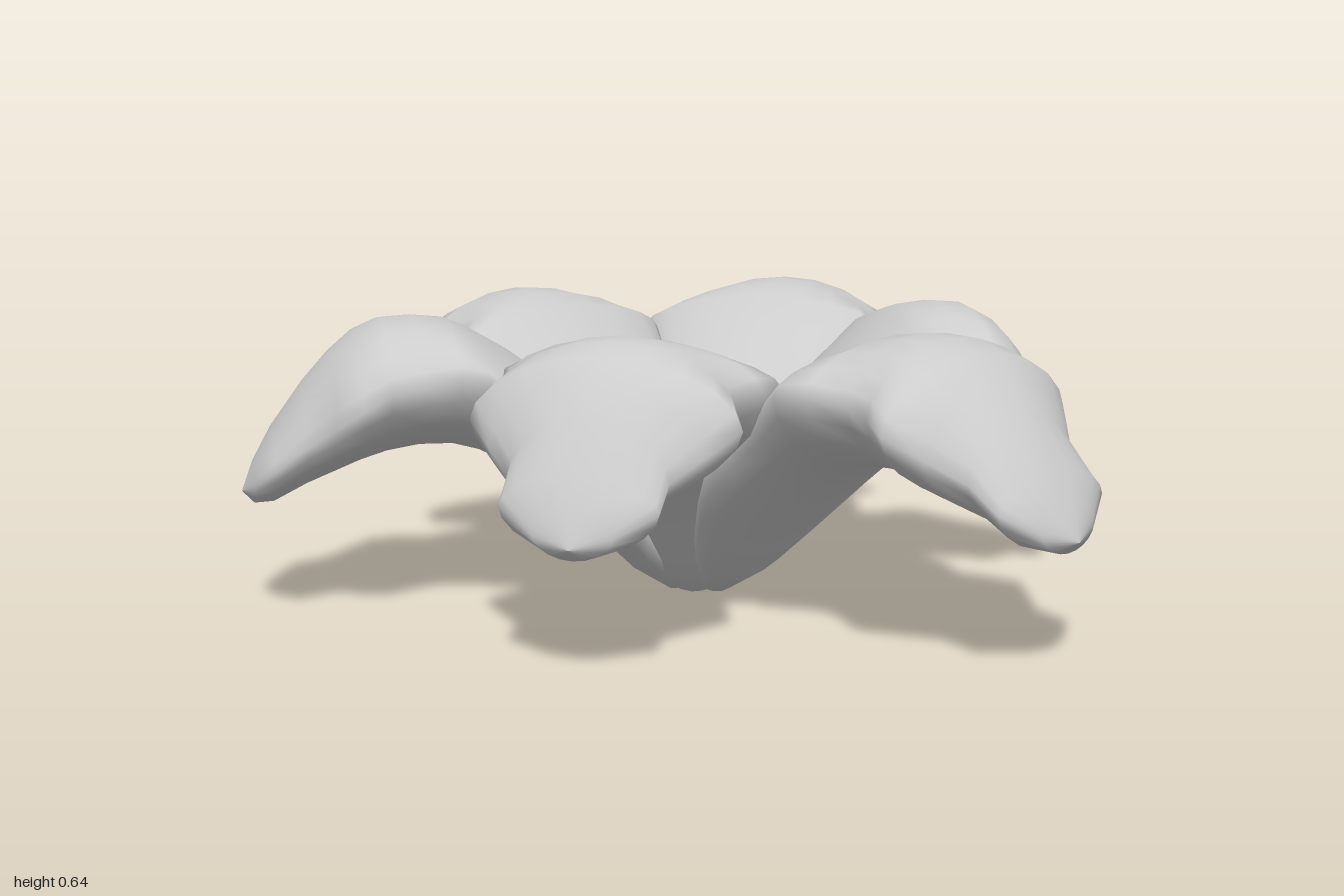
import * as THREE from 'three';

// Petal cross-sections: [fraction of length, half width, top y, rim y, belly y]
const SECTIONS = [
  [0, 0, 0.1, 0.08, 0.06],
  [0.01, 0.05, 0.14, 0.03, 0],
  [0.07, 0.085, 0.22, 0.07, 0],
  [0.15, 0.165, 0.31, 0.16, 0.05],
  [0.22, 0.225, 0.385, 0.255, 0.12],
  [0.28, 0.265, 0.44, 0.33, 0.18],
  [0.35, 0.27, 0.5, 0.4, 0.24],
  [0.43, 0.27, 0.56, 0.47, 0.305],
  [0.505, 0.305, 0.605, 0.53, 0.345],
  [0.56, 0.275, 0.63, 0.53, 0.36],
  [0.63, 0.235, 0.64, 0.51, 0.36],
  [0.7, 0.26, 0.635, 0.5, 0.35],
  [0.755, 0.283, 0.61, 0.475, 0.335],
  [0.81, 0.225, 0.565, 0.43, 0.31],
  [0.865, 0.165, 0.505, 0.385, 0.285],
  [0.935, 0.163, 0.405, 0.335, 0.25],
  [0.975, 0.08, 0.335, 0.29, 0.245],
  [1, 0, 0.27, 0.27, 0.27],
];
const SIDES = 20;

// Loft lens-shaped rings along +x
function petalGeometry(length) {
  const positions = [], index = [];
  SECTIONS.forEach(([f, half, top, rim, belly], i) => {
    for (let j = 0; j < SIDES; j++) {
      const a = (j / SIDES) * Math.PI * 2;
      const s = Math.sin(a);
      const bulge = Math.abs(s) ** 1.15;
      positions.push(f * length, rim + bulge * (s > 0 ? top - rim : belly - rim), half * Math.cos(a));
      if (i === SECTIONS.length - 1) continue;
      const k = (j + 1) % SIDES;
      const p = i * SIDES + j, q = i * SIDES + k;
      index.push(p, p + SIDES, q, q, p + SIDES, q + SIDES);
    }
  });
  const g = new THREE.BufferGeometry();
  g.setAttribute('position', new THREE.Float32BufferAttribute(positions, 3));
  g.setIndex(index);
  g.computeVertexNormals();
  return g;
}

export function createModel() {
  const model = new THREE.Group();
  model.name = 'flower';
  const grey = new THREE.MeshStandardMaterial({ color: 0xcccccc });
  grey.name = 'petalGrey';

  // Six petals of differing lengths, counter-clockwise from +x
  const lengths = [1.06, 0.88, 1.12, 0.94, 1.01, 0.86];
  const bloom = new THREE.Group();
  bloom.name = 'bloom';
  bloom.position.set(-0.06, 0, 0.04);
  lengths.forEach((length, i) => {
    const petal = new THREE.Mesh(petalGeometry(length), grey);
    petal.name = 'petal' + (i + 1);
    petal.rotation.y = (i * Math.PI) / 3;
    bloom.add(petal);
  });
  model.add(bloom);
  return model;
}
